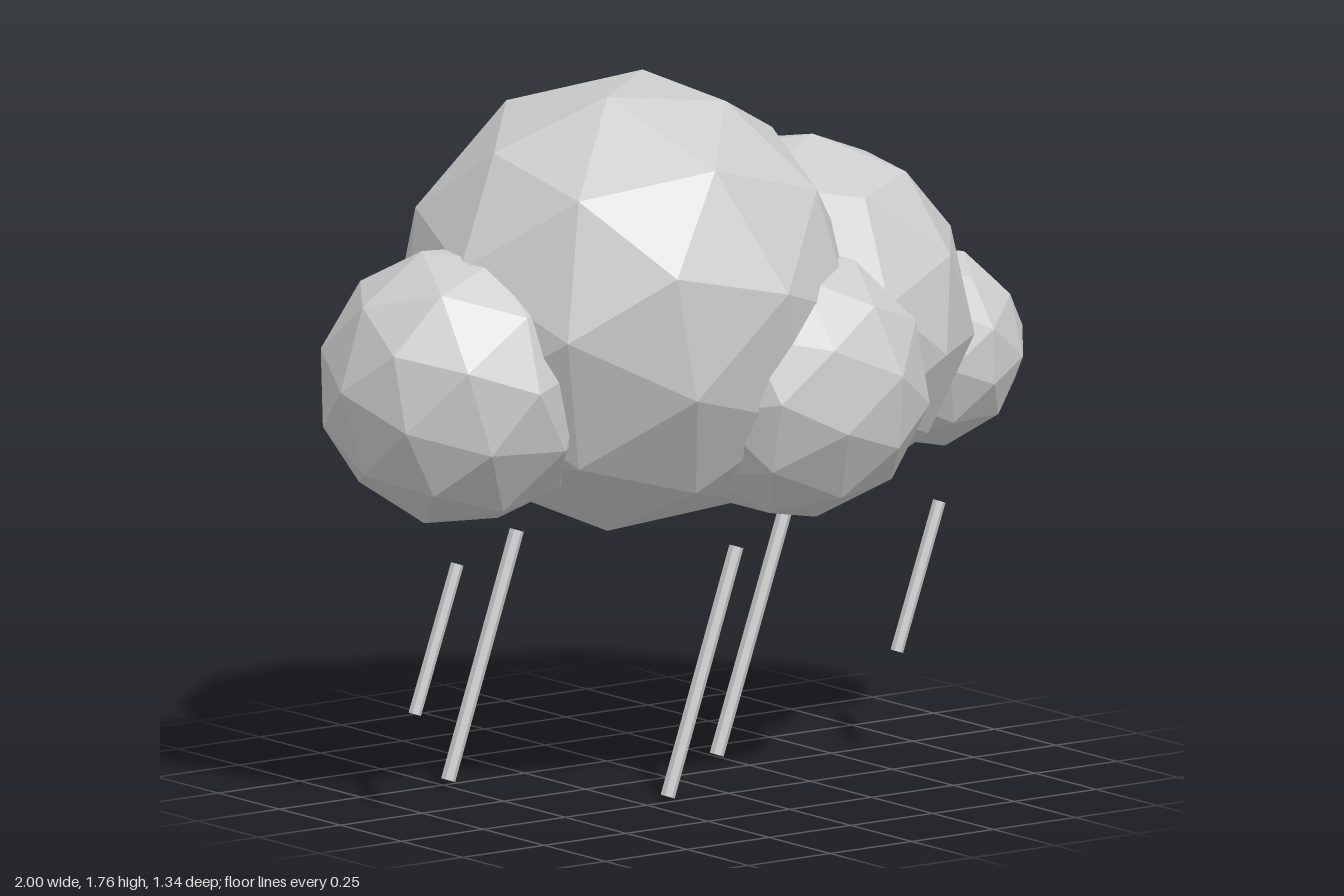
import * as THREE from 'three';

const material = new THREE.MeshStandardMaterial({ color: 0xcccccc, flatShading: true });
const vec = (a) => new THREE.Vector3(...a);

// Faceted ball; one vertex points along "axis", "side" sets the twist around it
function puff(name, centre, radius, axis, side) {
  const mesh = new THREE.Mesh(new THREE.IcosahedronGeometry(radius, 1), material);
  const y = vec(axis).normalize();
  const z = vec(side).cross(y).normalize();
  const x = y.clone().cross(z);
  mesh.quaternion.setFromRotationMatrix(new THREE.Matrix4().makeBasis(x, y, z));
  mesh.position.set(...centre);
  mesh.name = name;
  return mesh;
}

// Thin six-sided rod between two points
function streak(top, bottom, radius) {
  const a = vec(top), b = vec(bottom);
  const mesh = new THREE.Mesh(
    new THREE.CylinderGeometry(radius, radius, a.distanceTo(b), 6), material);
  mesh.position.copy(a).add(b).multiplyScalar(0.5);
  mesh.quaternion.setFromUnitVectors(new THREE.Vector3(0, 1, 0), a.sub(b).normalize());
  mesh.name = 'rainStreak';
  return mesh;
}

export function createModel() {
  const model = new THREE.Group();
  model.name = 'rainCloud';

  // Cloud of overlapping puffs
  const cloud = new THREE.Group();
  cloud.name = 'cloud';
  cloud.add(
    puff('mainPuff', [-0.16, 1.22, 0.04], 0.57, [0.24, 0.95, -0.195], [0.148, 0.163, 0.975]),
    puff('leftPuff', [0.36, 1.125, 0.02], 0.455, [0.06, 0.99, 0.12], [0.8, 0, 0.6]),
    puff('rightPuff', [-0.65, 1.065, 0.02], 0.352, [-1, 0.05, -0.05], [0, 0.6, 0.8]),
    puff('leftEndPuff', [0.75, 1.0, 0.045], 0.252, [1, 0, -0.15], [0, 0.3, 1]),
    puff('frontPuff', [0.13, 1.03, 0.34], 0.34, [-0.1, 0.14, 0.31], [0.8, 0.6, 0]),
    puff('backPuff', [0.1, 1.04, -0.33], 0.352, [-0.1, 0.12, -0.33], [0.8, -0.6, 0]));
  model.add(cloud);

  // Slanted rain: top x, bottom x, z, top y, bottom y, radius
  const rain = new THREE.Group();
  rain.name = 'rain';
  for (const [x1, x0, z, y1, y0, r] of [
    [-0.65, -0.78, 0.01, 0.615, 0.255, 0.016],
    [-0.3, -0.51, -0.215, 0.622, 0.022, 0.018],
    [0.05, -0.16, 0.215, 0.608, 0.008, 0.018],
    [0.44, 0.225, -0.1, 0.618, 0.016, 0.018],
    [0.745, 0.615, 0.115, 0.622, 0.262, 0.016],
  ]) rain.add(streak([x1, y1, z], [x0, y0, z], r));
  model.add(rain);

  return model;
}
